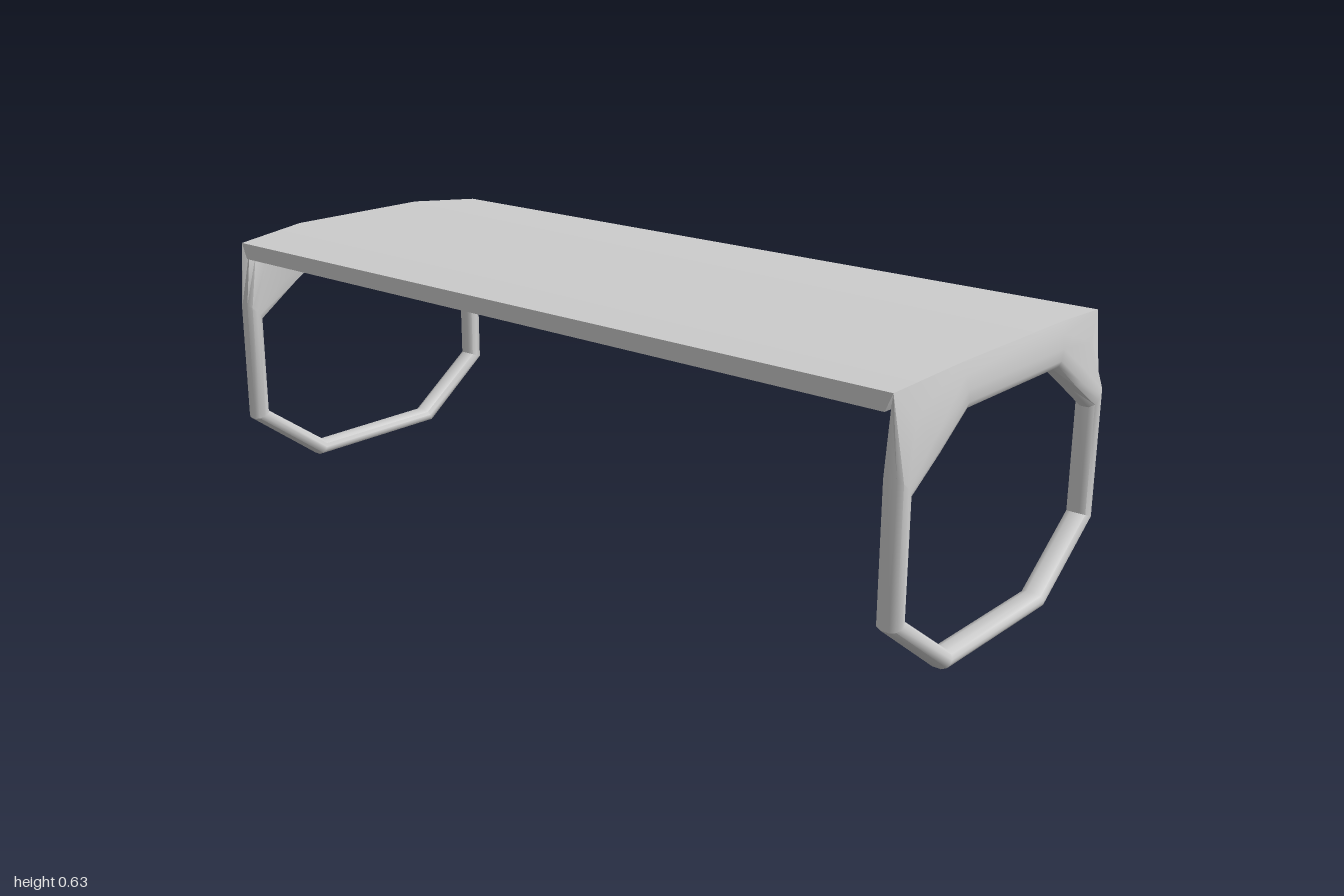
import * as THREE from 'three';
import { toCreasedNormals } from 'three/addons/utils/BufferGeometryUtils.js';

const material = new THREE.MeshStandardMaterial({ color: 0xcccccc });

// Skins a list of equal-length sections; closed rings join up, open lofts get capped.
function loft(name, sections, closed, crease) {
  const n = sections[0].length, m = sections.length;
  const points = sections.flat();
  let faces = [];
  for (let i = 0; i < (closed ? m : m - 1); i++) {
    for (let j = 0; j < n; j++) {
      const a = i * n + j, b = i * n + (j + 1) % n;
      const c = ((i + 1) % m) * n + (j + 1) % n, d = ((i + 1) % m) * n + j;
      faces.push([a, b, c], [a, c, d]);
    }
  }
  if (!closed) {
    const e = (m - 1) * n;
    for (let j = 1; j < n - 1; j++) faces.push([0, j + 1, j], [e, e + j, e + j + 1]);
  }
  // Turn the faces outward when the enclosed volume comes out negative
  const volume = faces.reduce((sum, [a, b, c]) =>
    sum + points[a].dot(points[b].clone().cross(points[c])), 0);
  if (volume < 0) faces = faces.map(([a, b, c]) => [a, c, b]);
  const geometry = new THREE.BufferGeometry().setFromPoints(points);
  geometry.setIndex(faces.flat());
  const mesh = new THREE.Mesh(toCreasedNormals(geometry, crease), material);
  mesh.name = name;
  return mesh;
}

// Leg cross-sections as [fraction from hole to rim, x]
const TUBE = [[0, 0.963], [0, 0.983], [0.15, 0.995], [0.4, 1], [0.6, 1], [0.85, 0.995],
  [1, 0.983], [1, 0.963], [0.85, 0.95], [0.6, 0.945], [0.4, 0.945], [0.15, 0.95]];
const TOP = [[0, 0.963], [0, 0.983], [0.08, 0.995], [0.2, 1], [0.45, 1], [0.75, 0.996],
  [1, 0.988], [0.9, 0.963], [0.7, 0.95], [0.5, 0.942], [0.3, 0.945], [0.06, 0.95]];
const CORNER = [[0, 0.963], [0, 0.983], [0.03, 0.995], [0.1, 1], [0.25, 0.998], [0.6, 0.985],
  [1, 0.967], [0.9, 0.955], [0.8, 0.948], [0.6, 0.945], [0.2, 0.945], [0.05, 0.95]];

// Half of the ring, bottom to top: hole [z, y], rim [z, y], section
const STATIONS = [
  [[0.18, 0.035], [0.2, 0], TUBE],
  [[0.36, 0.165], [0.4, 0.15], TUBE],
  [[0.36, 0.41], [0.4, 0.455], TUBE],
  [[0.27, 0.4725], [0.4, 0.617], CORNER],
  [[0.18, 0.535], [0.2, 0.635], TOP],
];

function legFrame(name, side) {
  const section = ([hole, rim, profile], zSign) => profile.map(([u, x]) => new THREE.Vector3(
    side * x,
    THREE.MathUtils.lerp(hole[1], rim[1], u),
    zSign * THREE.MathUtils.lerp(hole[0], rim[0], u)));
  const sections = [
    ...STATIONS.map((s) => section(s, 1)),
    ...[...STATIONS].reverse().map((s) => section(s, -1)),
  ];
  return loft(name, sections, true, 0.75);
}

// Slightly crowned top with bowed ends: [z, half length, top height]
function tableTop() {
  const sections = [[-0.4, 0.967, 0.617], [-0.2, 0.988, 0.635], [0.2, 0.988, 0.635], [0.4, 0.967, 0.617]]
    .map(([z, x, y]) => [[-x, y], [x, y], [0.95, 0.578], [-0.95, 0.578]]
      .map(([px, py]) => new THREE.Vector3(px, py, z)));
  return loft('top', sections, false, 0.5);
}

export function createModel() {
  const model = new THREE.Group();
  model.name = 'bench';
  model.add(tableTop(), legFrame('leftLeg', 1), legFrame('rightLeg', -1));
  return model;
}
